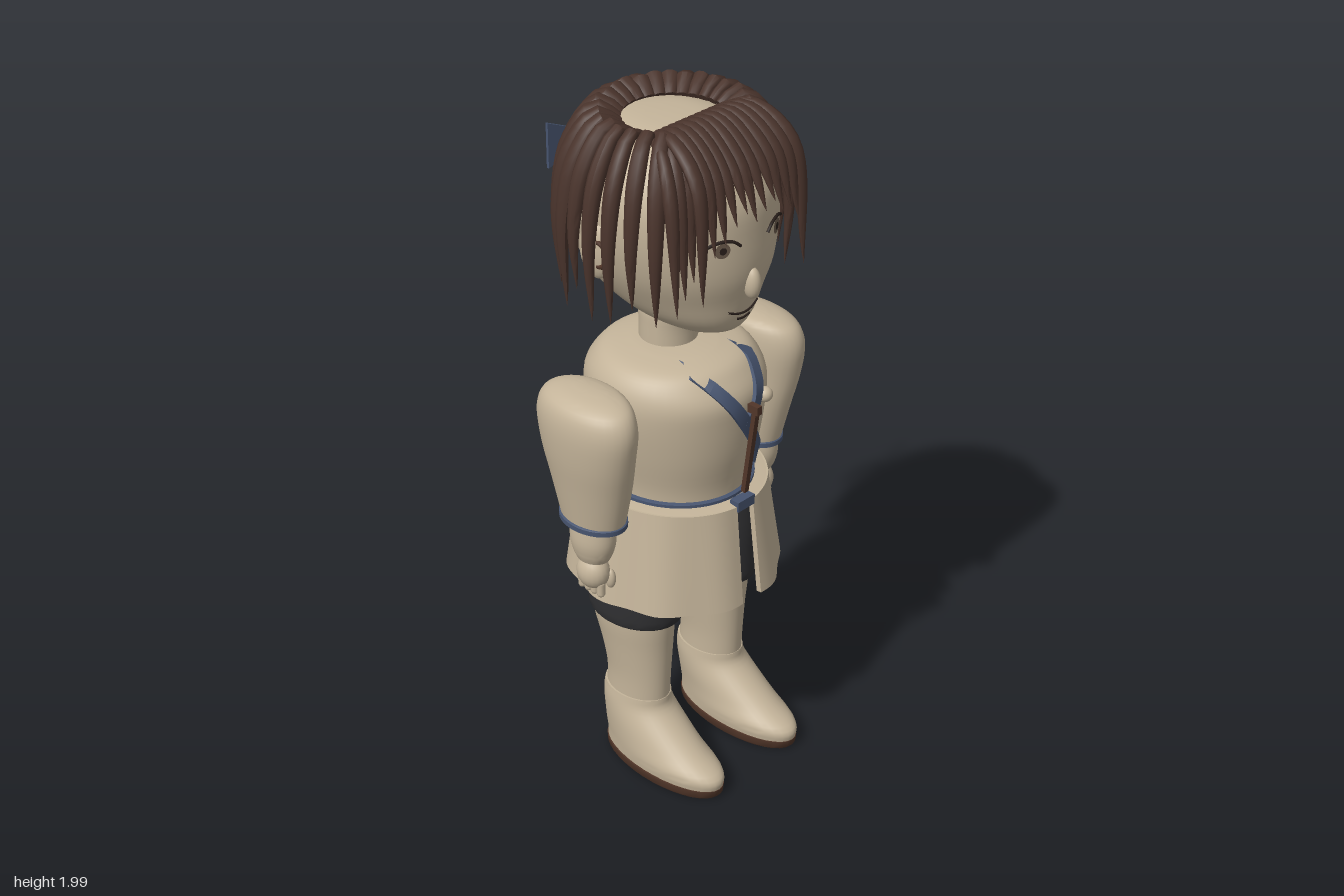
import * as THREE from 'three';
import { toCreasedNormals } from 'three/addons/utils/BufferGeometryUtils.js';

const V = (x, y, z) => new THREE.Vector3(x, y, z);
const paint = (name, color) => Object.assign(new THREE.MeshStandardMaterial({ color }), { name });

// closed skin over a row of rings with equal point counts
function skin(rings) {
  const n = rings[0].length, m = rings.length, pos = [], idx = [];
  rings.forEach(r => r.forEach(p => pos.push(p.x, p.y, p.z)));
  for (let i = 0; i < m - 1; i++) for (let j = 0; j < n; j++) {
    const a = i * n + j, b = i * n + (j + 1) % n;
    idx.push(a, a + n, b, b, a + n, b + n);
  }
  [rings[0], rings[m - 1]].forEach((r, e) => {
    const c = r.reduce((s, p) => s.add(p), V(0, 0, 0)).divideScalar(n);
    const k = m * n + e, o = e * (m - 1) * n;
    pos.push(c.x, c.y, c.z);
    for (let j = 0; j < n; j++) {
      const a = o + j, b = o + (j + 1) % n;
      e ? idx.push(k, b, a) : idx.push(k, a, b);
    }
  });
  const g = new THREE.BufferGeometry();
  g.setAttribute('position', new THREE.Float32BufferAttribute(pos, 3));
  g.setIndex(idx);
  return toCreasedNormals(g, 0.8);
}

// rows are [y, rx, rz, cz, cx]; fills in a smooth curve between them
function smooth(rows, k = 4) {
  const out = [], at = i => rows[Math.max(0, Math.min(rows.length - 1, i))];
  for (let i = 0; i < rows.length - 1; i++) for (let s = 0; s < k; s++) {
    const t = s / k;
    out.push(rows[i].map((b, c) => {
      const a = at(i - 1)[c], d = at(i + 1)[c], e = at(i + 2)[c];
      return b + 0.5 * t * (d - a + t * (2 * a - 5 * b + 4 * d - e + t * (3 * (b - d) + e - a)));
    }));
  }
  out.push(rows[rows.length - 1]);
  return out;
}
const loft = (rows, side = 1, n = 36) => skin(rows.map(([y, rx, rz, cz = 0, cx = 0]) =>
  Array.from({ length: n }, (_, j) => {
    const a = j / n * Math.PI * 2;
    return V(cx * side + rx * Math.cos(a), y, cz + rz * Math.sin(a));
  })));
// front surface height of a loft at x, y
function frontZ(rows, x, y) {
  let i = 0;
  while (i < rows.length - 2 && rows[i + 1][0] < y) i++;
  const t = Math.min(1, Math.max(0, (y - rows[i][0]) / (rows[i + 1][0] - rows[i][0])));
  const [, rx, rz, cz] = rows[i].map((v, c) => v + (rows[i + 1][c] - v) * t);
  return cz + rz * Math.sqrt(Math.max(0, 1 - (x / rx) ** 2));
}

const headRows = smooth([[1.405, .05, .08, .09], [1.42, .10, .14, .08], [1.46, .155, .2, .045], [1.52, .2, .25, .01],
  [1.6, .24, .28, 0], [1.7, .265, .293, -.01], [1.8, .26, .285, -.01], [1.88, .22, .24, -.01], [1.93, .16, .18, -.01],
  [1.95, .1, .11, -.01], [1.955, .03, .03, -.01]]);
const torsoRows = smooth([[.89, .2, .215, .005], [.95, .205, .22, .005], [1.05, .225, .24, .005], [1.15, .24, .25, .005],
  [1.22, .24, .25, .005], [1.27, .22, .22, .005], [1.3, .18, .185, .005], [1.315, .1, .12, .005]]);

// flattened tapering lock along a curve; side is its width direction
function lock(points, side, w, h) {
  const curve = new THREE.CatmullRomCurve3(points), rings = [];
  for (let i = 0; i <= 18; i++) {
    const t = i / 18, p = curve.getPointAt(t), T = curve.getTangentAt(t);
    const N = side.clone().cross(T).normalize();
    const f = (.5 + .5 * Math.sin(Math.min(1, t / .4) * Math.PI / 2)) * Math.pow(1 - t ** 2.6, .9) + .02;
    rings.push(Array.from({ length: 10 }, (_, j) => {
      const a = j / 10 * Math.PI * 2;
      return p.clone().addScaledVector(side, w * f * Math.cos(a)).addScaledVector(N, h * f * Math.sin(a));
    }));
  }
  return skin(rings);
}

// flat ribbon lying on the chest
function ribbon(x0, y0, x1, y1, w) {
  const l = Math.hypot(x1 - x0, y1 - y0), sx = (y1 - y0) / l * w / 2, sy = -(x1 - x0) / l * w / 2;
  return skin(Array.from({ length: 13 }, (_, i) => {
    const x = x0 + (x1 - x0) * i / 12, y = y0 + (y1 - y0) * i / 12;
    return [[1, -.005], [1, .012], [-1, .012], [-1, -.005]].map(([s, o]) =>
      V(x + s * sx, y + s * sy, frontZ(torsoRows, x + s * sx, y + s * sy) + o));
  }));
}

// half of the split skirt between two angles
function skirtPanel(a0, a1) {
  return skin(Array.from({ length: 41 }, (_, i) => {
    const a = a0 + (a1 - a0) * i / 40, fold = .006 * Math.cos(a * 10);
    return [[.9, .248, .27, 0], [.6, .295, .305, fold], [.6, .28, .29, fold], [.9, .233, .255, 0]].map(([y, rx, rz, f]) =>
      V((rx + f) * Math.cos(a), y, (rz + f) * Math.sin(a)));
  }));
}

export function createModel() {
  const model = new THREE.Group();
  const skinCloth = paint('beige', 0xc4b49a), hairMat = paint('dark brown hair', 0x4a342c), blue = paint('slate blue', 0x47546f),
    black = paint('charcoal', 0x303032), soleMat = paint('brown', 0x513629), dark = paint('dark line', 0x2a201c), iris = paint('iris', 0x6b5b4c);
  const add = (name, geo, mat, x = 0, y = 0, z = 0, parent = model) => {
    const m = new THREE.Mesh(geo, mat);
    m.name = name;
    m.position.set(x, y, z);
    parent.add(m);
    return m;
  };
  const ball = (name, mat, x, y, z, a, b, c) => add(name, new THREE.SphereGeometry(1, 20, 14), mat, x, y, z).scale.set(a, b, c);

  // body
  add('head', loft(headRows, 1, 48), skinCloth);
  add('neck', loft(smooth([[1.29, .08, .08, -.02], [1.36, .08, .08, -.02], [1.41, .078, .085, -.02], [1.44, .06, .06, -.02]])), skinCloth);
  add('torso', loft(torsoRows, 1, 48), skinCloth);
  add('skirtYoke', loft([[.885, .243, .265], [.9, .243, .265], [.906, .2, .22]], 1, 48), skinCloth);
  add('belt', loft([[.893, .2, .22], [.897, .213, .232], [.913, .213, .232], [.917, .2, .22]], 1, 48), blue);
  add('beltKnot', new THREE.BoxGeometry(.065, .03, .03), blue, 0, .9, .258);
  const slit = .125, q = Math.PI / 2;
  add('leftSkirt', skirtPanel(-q + slit, q - slit), skinCloth);
  add('rightSkirt', skirtPanel(q + slit, 3 * q - slit), skinCloth);
  add('shortsTop', loft([[.78, .19, .15], [.83, .2, .2], [.885, .2, .22]]), black);

  // limbs
  for (const s of [1, -1]) {
    const side = s > 0 ? 'left' : 'right';
    add(side + 'ShortsLeg', loft(smooth([[.505, .108, .14, 0, .152], [.52, .115, .15, 0, .152], [.6, .117, .155, 0, .152],
      [.72, .112, .16, 0, .15], [.85, .09, .15, 0, .13]]), s), black);
    add(side + 'Leg', loft(smooth([[.22, .073, .105, .005, .15], [.3, .074, .105, .008, .15], [.4, .085, .118, 0, .15],
      [.48, .094, .132, -.008, .152], [.56, .098, .135, -.008, .152]]), s), skinCloth);
    add(side + 'Boot', loft(smooth([[.025, .088, .215, .115, .155], [.06, .092, .213, .115, .155], [.1, .09, .178, .077, .155],
      [.15, .088, .143, .038, .153], [.2, .083, .115, .007, .151], [.235, .078, .108, .004, .15]]), s), skinCloth);
    add(side + 'Sole', loft([[0, .088, .208, .115, .155], [.008, .093, .215, .115, .155], [.028, .093, .217, .115, .155]], s), soleMat);
    add(side + 'Sleeve', loft(smooth([[.875, .07, .1, 0, .31], [1, .084, .13, 0, .315], [1.1, .09, .153, 0, .324], [1.19, .092, .166, 0, .326],
      [1.245, .083, .15, 0, .322], [1.27, .06, .11, 0, .312], [1.28, .025, .05, 0, .305]]), s), skinCloth);
    add(side + 'Cuff', loft([[.87, .071, .1, 0, .31], [.874, .078, .107, 0, .31], [.888, .078, .107, 0, .31], [.892, .071, .1, 0, .31]], s), blue);
    add(side + 'Forearm', loft(smooth([[.765, .04, .05, .012, .325], [.79, .049, .062, .012, .325], [.83, .056, .07, .012, .324],
      [.885, .054, .068, .01, .322]]), s), skinCloth);
    ball(side + 'Hand', skinCloth, s * .33, .722, .016, .042, .052, .05);
    for (let f = 0; f < 4; f++)
      add(side + 'Finger', new THREE.CapsuleGeometry(.012, .03, 4, 8), skinCloth, s * .335, .679, -.022 + f * .024);
    ball(side + 'Thumb', skinCloth, s * .303, .7, .055, .014, .03, .016);

    // ear, eye and bow wing
    ball(side + 'Ear', skinCloth, s * .262, 1.66, -.02, .025, .08, .056);
    const inner = add(side + 'EarInner', new THREE.TorusGeometry(.034, .008, 6, 16, Math.PI), soleMat, s * .277, 1.66, .002);
    inner.rotation.set(0, -q, q);
    inner.rotation.order = 'YXZ';
    inner.rotation.set(0, -q, -q);
    const face = (x, y, o) => V(x, y, frontZ(headRows, x, y) + o);
    const disc = (name, r, sy, mat, o) => {
      const p = face(s * .1, 1.697, o);
      const d = add(name, new THREE.CircleGeometry(r, 20), mat, p.x, p.y, p.z);
      d.rotation.y = s * .4;
      d.scale.y = sy;
    };
    disc(side + 'Iris', .021, 1, iris, .005);
    disc(side + 'Pupil', .01, 1, dark, .007);
    const lash = [[.05, 1.7], [.07, 1.716], [.1, 1.722], [.13, 1.714], [.152, 1.7]].map(([x, y]) => face(s * x, y, .003));
    add(side + 'Lash', new THREE.TubeGeometry(new THREE.CatmullRomCurve3(lash), 16, .0045, 6), dark);
    const wing = new THREE.Shape([new THREE.Vector2(0, -.012), new THREE.Vector2(.122, -.065), new THREE.Vector2(.122, .065), new THREE.Vector2(0, .012)]);
    const bow = add(side + 'BowWing', new THREE.ExtrudeGeometry(wing, { depth: .009, bevelEnabled: false }), blue, 0, 1.795, s > 0 ? -.327 : -.328);
    bow.rotation.y = s > 0 ? .1 : Math.PI - .1;
  }
  add('bowKnot', new THREE.BoxGeometry(.02, .03, .016), blue, 0, 1.795, -.325);

  // nose and mouth
  ball('nose', skinCloth, 0, 1.575, .276, .022, .045, .026);
  [[.055, 1.482, .014], [.025, 1.464, .004]].forEach(([w, y, lift]) => {
    const pts = [-1, -.5, 0, .5, 1].map(t => V(t * w, y + lift * t * t, frontZ(headRows, t * w, y + lift * t * t) + .002));
    add('mouthLine', new THREE.TubeGeometry(new THREE.CatmullRomCurve3(pts), 16, .003, 6), dark);
  });

  // collar ribbons, front cord and button
  add('longRibbon', ribbon(-.1, 1.302, .135, .95, .036), blue);
  add('shortRibbon', ribbon(.105, 1.302, .015, 1.13, .036), blue);
  const cord = add('frontCord', new THREE.BoxGeometry(.016, .285, .014), soleMat, .015, 1.065, .27);
  cord.rotation.x = .13;
  add('cordKnob', new THREE.BoxGeometry(.018, .025, .035), soleMat, .015, 1.195, .282);
  ball('button', skinCloth, .09, 1.195, frontZ(torsoRows, .09, 1.195) + .01, .022, .022, .022);

  // locks around the sides and back
  const hair = new THREE.Group();
  hair.name = 'hair';
  model.add(hair);
  for (let i = 0; i < 22; i++) {
    const a = (-36 + i * 12) * Math.PI / 180, back = Math.max(0, Math.sin(a));
    const tip = i === 0 || i === 21 ? 1.5 : 1.5 + .045 * Math.sin(i * 2.3);
    const path = [[.14, 1.945], [.2, 1.975], [.272, 1.88], [.306, 1.72], [.3, tip]].map(([r, y]) =>
      V(r * Math.cos(a), y, -r * .98 * Math.sin(a)));
    add('lock', lock(path, V(Math.sin(a), 0, Math.cos(a)), .025 + .011 * back, .022), hairMat, 0, 0, 0, hair);
  }
  // fringe, longer at its ends
  for (let i = 0; i < 12; i++) {
    const u = i / 5.5 - 1, x = u * .13, end = u * .19 + .015, tip = 1.77 - .2 * Math.abs(u) ** 4 + .02 * Math.sin(i * 2.1);
    const path = [V(x, 1.95, .045), V(x + (end - x) * .35, 1.975, .125), V(x + (end - x) * .75, 1.895, .235), V(end, tip, .292 - .02 * u * u)];
    add('fringe', lock(path, V(1, 0, 0), .024, .018), hairMat, 0, 0, 0, hair);
  }
  // loose wisps on the right temple
  for (let i = 0; i < 3; i++) {
    const x = -.1 - i * .03;
    add('wisp', lock([V(x, 1.96, .08), V(x - .03, 1.955, .14), V(x - .06, 1.86, .2), V(x - .065, 1.62 - i * .04, .23)],
      V(.8, 0, .6), .02, .016), hairMat, 0, 0, 0, hair);
  }
  return model;
}
